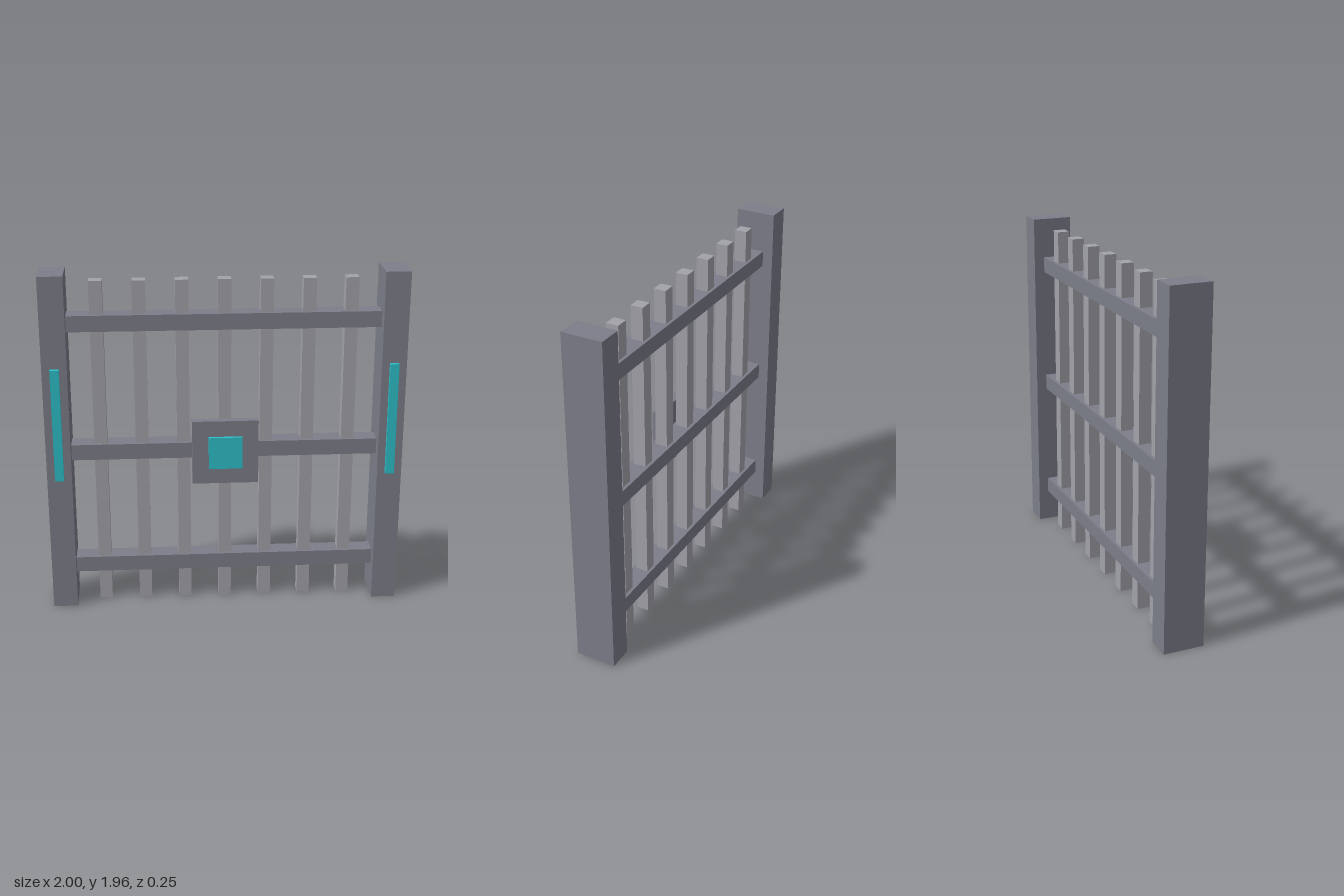
import * as THREE from 'three';

export function createModel() {
  const gate = new THREE.Group();
  gate.name = 'gate';

  const makeMaterial = (name, color) => {
    const m = new THREE.MeshStandardMaterial({ color });
    m.name = name;
    return m;
  };
  const darkSteel = makeMaterial('darkSteel', 0x7c7e89);
  const lightSteel = makeMaterial('lightSteel', 0xa2a2aa);
  const cyan = makeMaterial('cyan', 0x2ec0ca);

  // Box given by its limits on each axis
  const addBox = (name, material, [x0, x1], [y0, y1], [z0, z1]) => {
    const mesh = new THREE.Mesh(new THREE.BoxGeometry(x1 - x0, y1 - y0, z1 - z0), material);
    mesh.position.set((x0 + x1) / 2, (y0 + y1) / 2, (z0 + z1) / 2);
    mesh.name = name;
    gate.add(mesh);
  };

  // Side posts with glowing strips on the front
  for (const [side, s] of [['left', 1], ['right', -1]]) {
    const span = (a, b) => (s > 0 ? [a, b] : [-b, -a]);
    addBox(side + 'Post', darkSteel, span(0.862, 1), [0, 1.955], [-0.126, 0.105]);
    addBox(side + 'LightStrip', cyan, span(0.905, 0.955), [0.795, 1.443], [0.105, 0.126]);
  }

  // Horizontal rails between the posts
  for (const [name, y] of [['bottomRail', 0.235], ['middleRail', 0.932], ['topRail', 1.677]]) {
    addBox(name, darkSteel, [-0.862, 0.862], [y - 0.045, y + 0.045], [-0.066, 0.042]);
  }

  // Vertical bars running through the rails
  for (let i = -3; i <= 3; i++) {
    const x = i * 0.2325;
    addBox('bar' + (i + 4), lightSteel, [x - 0.036, x + 0.036], [0.002, 1.908], [-0.049, 0.021]);
  }

  // Lock plate with its lit panel
  addBox('lockPlate', darkSteel, [-0.186, 0.186], [0.746, 1.118], [0.042, 0.088]);
  addBox('lockPanel', cyan, [-0.094, 0.094], [0.84, 1.026], [0.088, 0.107]);

  return gate;
}
